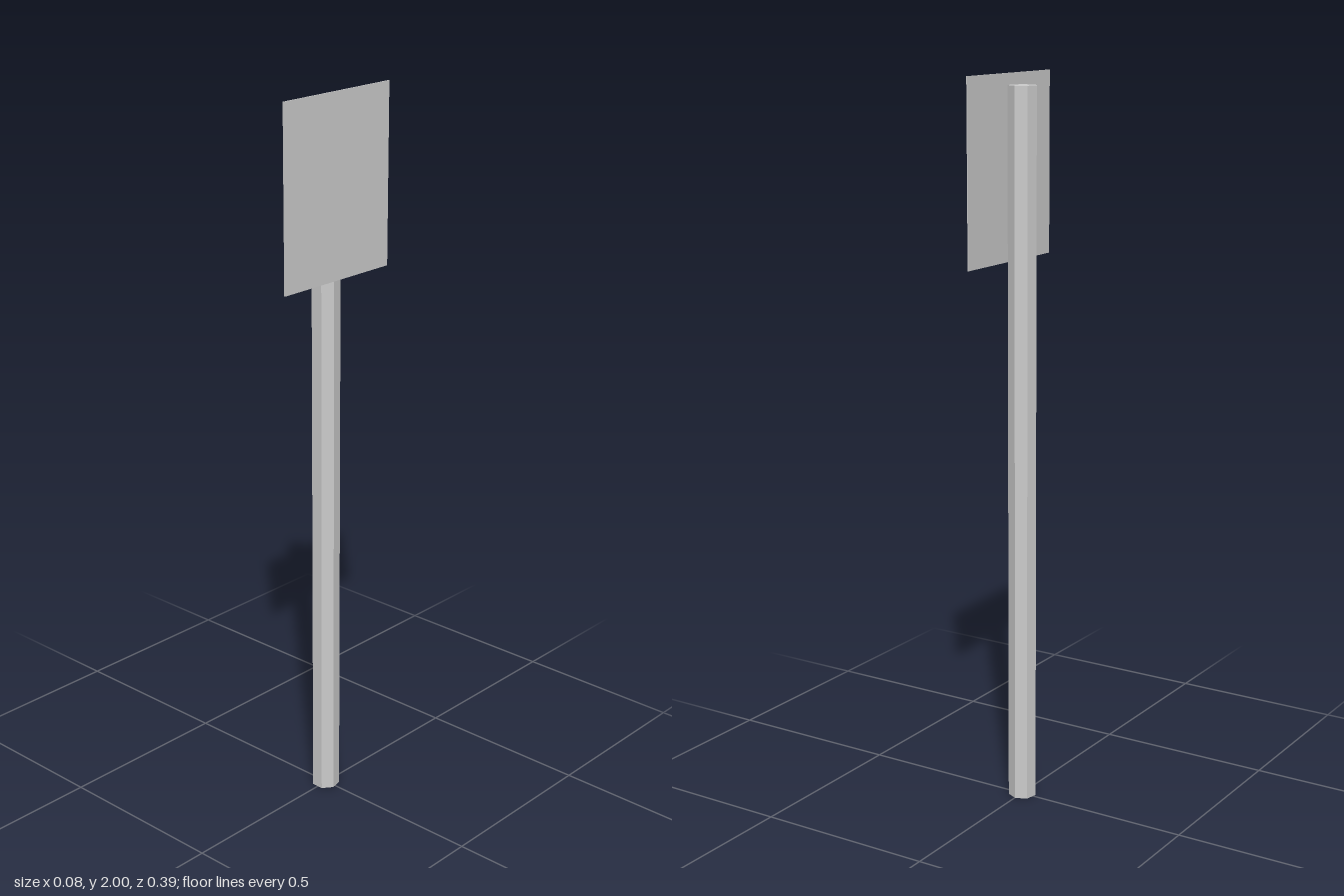
import * as THREE from 'three';

export function createModel() {
  const group = new THREE.Group();
  const material = new THREE.MeshStandardMaterial({ color: 0xcccccc, flatShading: true });

  const add = (name, geometry, x, y, z) => {
    const mesh = new THREE.Mesh(geometry, material);
    mesh.name = name;
    mesh.position.set(x, y, z);
    group.add(mesh);
    return mesh;
  };

  // Seven-sided post with one corner pointing to the back
  const postHeight = 1.97;
  const post = add('post', new THREE.CylinderGeometry(0.039, 0.039, postHeight, 7), -0.0015, postHeight / 2, 0.001);
  post.rotation.y = Math.PI;

  // Thin sign panel on the left side of the post, rising just above its top
  const bottom = 1.51, top = 2;
  add('signPanel', new THREE.BoxGeometry(0.003, top - bottom, 0.394), 0.038, (top + bottom) / 2, 0);

  return group;
}
